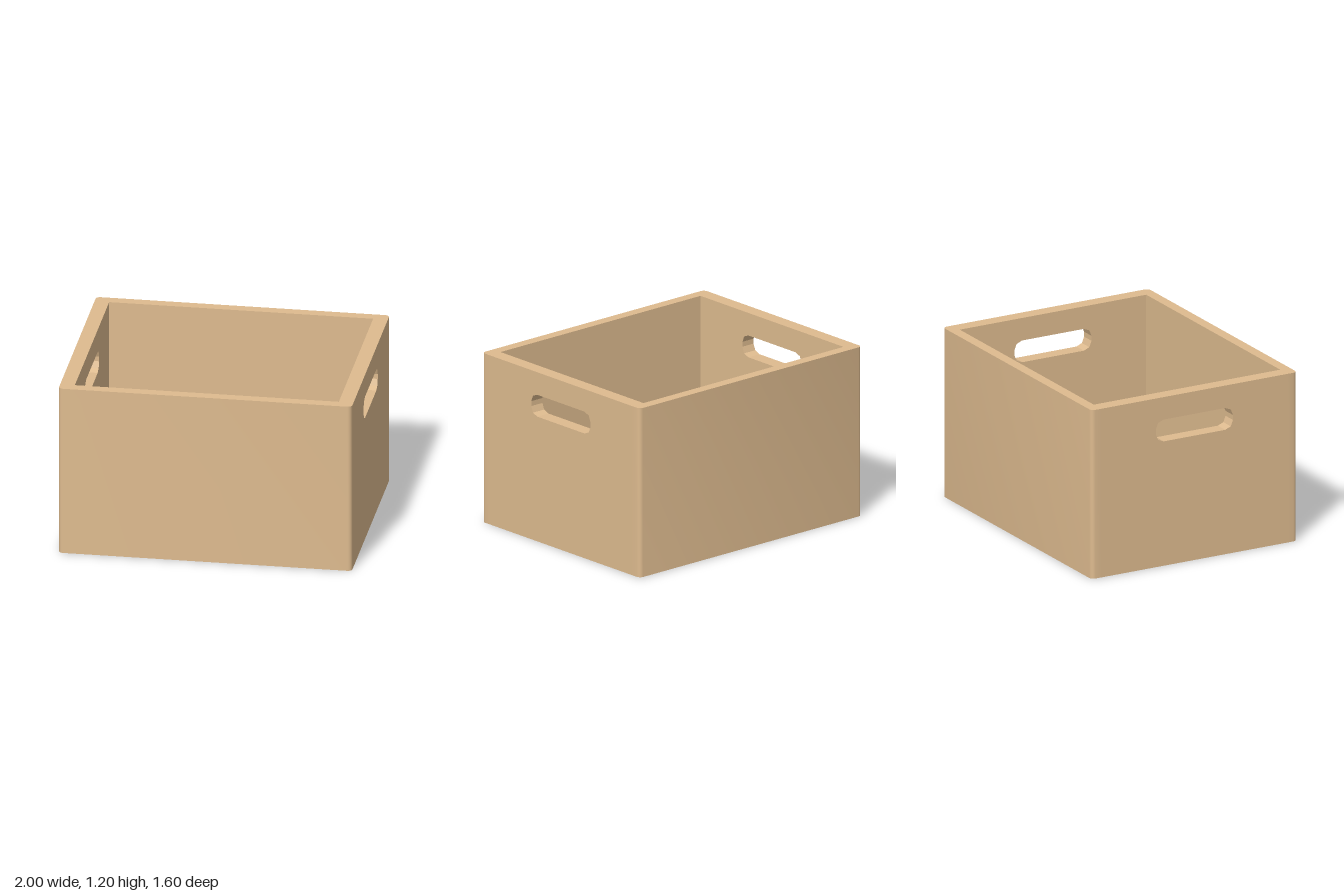
import * as THREE from 'three';
import { toCreasedNormals } from 'three/addons/utils/BufferGeometryUtils.js';

const W = 1, D = 0.8, H = 1.2;        // outer half width, half depth, height
const IW = 0.9, ID = 0.725;           // inner half width, half depth
const FLOOR = 0.1, CORNER = 0.03;

// Rectangle path with rounded corners; radius of each corner: [bl, br, tr, tl]
function roundedRect(path, x0, y0, x1, y1, [bl, br, tr, tl]) {
  const q = Math.PI / 2;
  path.moveTo(x0 + bl, y0);
  path.lineTo(x1 - br, y0);
  if (br) path.absarc(x1 - br, y0 + br, br, -q, 0);
  path.lineTo(x1, y1 - tr);
  if (tr) path.absarc(x1 - tr, y1 - tr, tr, 0, q);
  path.lineTo(x0 + tl, y1);
  if (tl) path.absarc(x0 + tl, y1 - tl, tl, q, 2 * q);
  path.lineTo(x0, y0 + bl);
  if (bl) path.absarc(x0 + bl, y0 + bl, bl, 2 * q, 3 * q);
  return path;
}

export function createModel() {
  const group = new THREE.Group();
  group.name = 'crate';
  const wood = new THREE.MeshStandardMaterial({ color: 0xdebb8f });

  const add = (name, geometry, turn = 0) => {
    const mesh = new THREE.Mesh(geometry, wood);
    mesh.name = name;
    mesh.rotation.y = turn;
    group.add(mesh);
  };

  // Long walls: footprint with rounded outer corners, extruded upwards
  const longShape = roundedRect(new THREE.Shape(), -W, -D, W, -ID, [CORNER, CORNER, 0, 0]);
  const longWall = toCreasedNormals(
    new THREE.ExtrudeGeometry(longShape, { depth: H, bevelEnabled: false, curveSegments: 2 })
      .rotateX(-Math.PI / 2), 0.6);
  add('frontWall', longWall);
  add('backWall', longWall, Math.PI);

  // Side walls: panels with a hand-hold slot cut through
  const sideShape = roundedRect(new THREE.Shape(), -ID, 0, ID, H, [0, 0, 0, 0]);
  const r = 0.06;
  sideShape.holes.push(roundedRect(new THREE.Path(), -0.3, 0.885, 0.3, 1.04, [r, r, r, r]));
  const sideWall = new THREE.ExtrudeGeometry(sideShape, { depth: W - IW, bevelEnabled: false, curveSegments: 1 })
    .rotateY(Math.PI / 2).translate(IW, 0, 0);
  add('leftWall', sideWall);
  add('rightWall', sideWall, Math.PI);

  // Floor slab between the walls
  add('floor', new THREE.BoxGeometry(2 * IW, FLOOR, 2 * ID).translate(0, FLOOR / 2, 0));

  return group;
}
